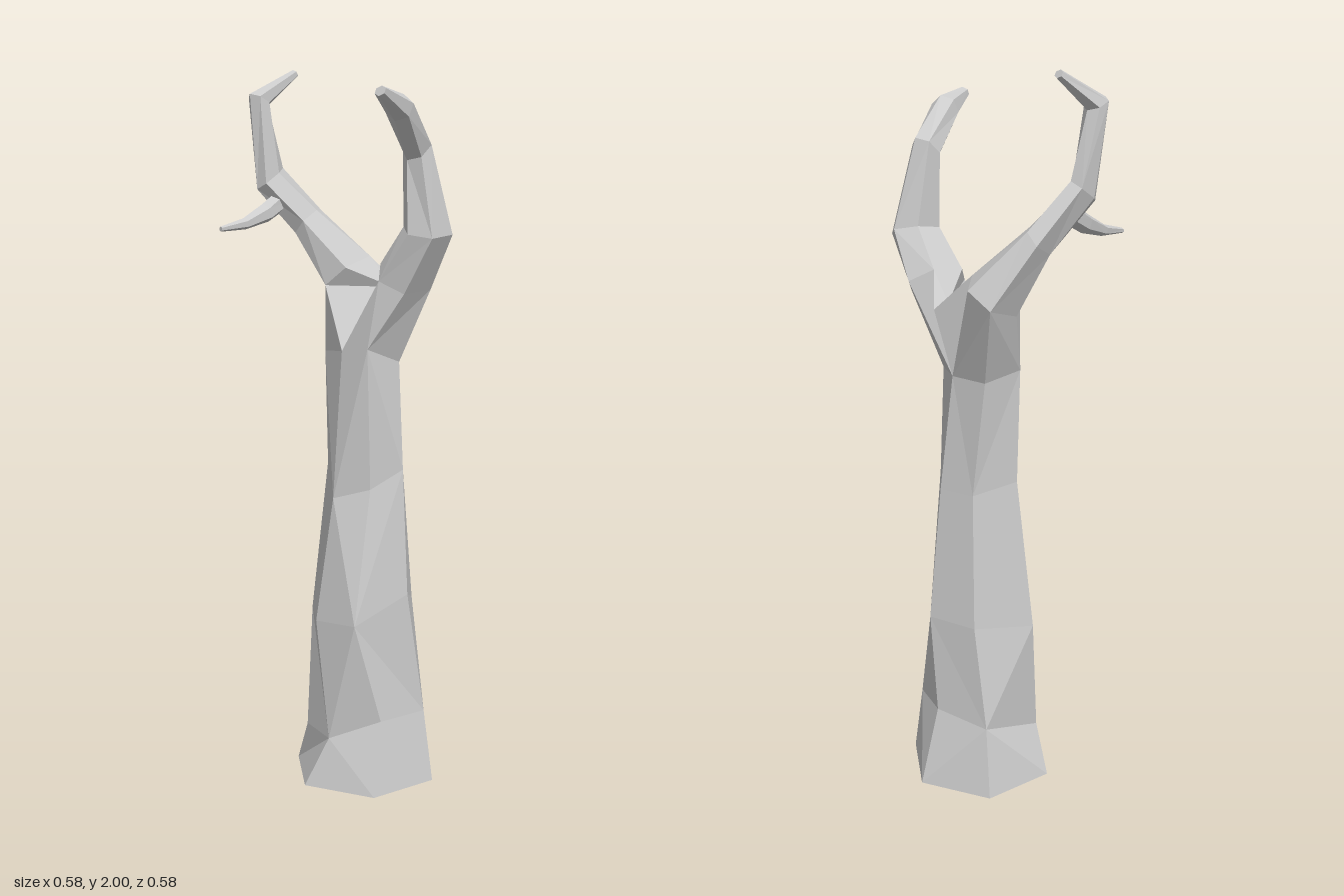
import * as THREE from 'three';

const material = new THREE.MeshStandardMaterial({ color: 0xcccccc, flatShading: true, side: THREE.DoubleSide });

// Six-sided ring around centre c, spanned by an outward vector u and a frontward vector v
function ring(c, u, v) {
  return [90, 30, -30, -90, -150, 150].map((deg) => {
    const a = THREE.MathUtils.degToRad(deg);
    return c.map((value, k) => value + u[k] * Math.cos(a) + v[k] * Math.sin(a));
  });
}

// Faceted skin through a list of rings, with optional end caps
function loft(name, rings, { flip = false, capStart = false, capEnd = false } = {}) {
  const positions = [];
  const tri = (a, b, c) => positions.push(...a, ...(flip ? c : b), ...(flip ? b : c));
  for (let r = 0; r < rings.length - 1; r++) {
    const low = rings[r], high = rings[r + 1], n = low.length;
    for (let i = 0; i < n; i++) {
      const j = (i + 1) % n;
      // Alternate the diagonals for an irregular, hewn surface
      if ((i + r) % 2) {
        tri(low[i], low[j], high[j]);
        tri(low[i], high[j], high[i]);
      } else {
        tri(low[i], low[j], high[i]);
        tri(low[j], high[j], high[i]);
      }
    }
  }
  const first = rings[0], last = rings[rings.length - 1];
  for (let i = 1; i < first.length - 1; i++) {
    if (capStart) tri(first[0], first[i + 1], first[i]);
    if (capEnd) tri(last[0], last[i], last[i + 1]);
  }
  const geometry = new THREE.BufferGeometry();
  geometry.setAttribute('position', new THREE.Float32BufferAttribute(positions, 3));
  geometry.computeVertexNormals();
  const mesh = new THREE.Mesh(geometry, material);
  mesh.name = name;
  return mesh;
}

export function createModel() {
  const group = new THREE.Group();
  group.name = 'clawedArm';

  // Wrist ring: front, left front, left back, back, right back, right front
  const wrist = [[0, 1.23, 0], [0.09, 1.24, -0.02], [0.09, 1.2, -0.13],
    [0, 1.2, -0.165], [-0.11, 1.2, -0.14], [-0.12, 1.22, -0.03]];

  // Forearm, flared at the foot
  group.add(loft('forearm', [
    [[0, 0, 0.13], [0.185, 0, 0.025], [0.185, 0, -0.185], [0, 0, -0.29], [-0.185, 0, -0.185], [-0.185, 0, 0.025]],
    [[0.04, 0.14, 0.075], [0.15, 0.2, -0.025], [0.15, 0.2, -0.18], [0, 0.22, -0.23], [-0.15, 0.2, -0.17], [-0.115, 0.13, 0.04]],
    [[-0.02, 0.47, 0.075], [0.12, 0.48, 0.045], [0.14, 0.55, -0.125], [0.03, 0.5, -0.23], [-0.11, 0.5, -0.18], [-0.145, 0.47, 0]],
    [[0, 0.82, 0.03], [0.085, 0.85, -0.035], [0.11, 0.9, -0.13], [0.02, 0.88, -0.195], [-0.08, 0.88, -0.16], [-0.108, 0.9, -0.03]],
    wrist,
  ], { capStart: true }));

  // Saddle between the two halves of the split palm
  const saddle = [[0, 1.39, -0.222], [0, 1.4, -0.175]];

  // Left palm half and forward-curled finger
  group.add(loft('leftFinger', [
    [wrist[0], wrist[1], wrist[2], wrist[3], ...saddle],
    ring([0.115, 1.435, -0.13], [0.06, -0.045, 0], [0, -0.01, 0.092]),
    ring([0.197, 1.56, -0.14], [0.057, -0.018, -0.01], [0, -0.01, 0.07]),
    ring([0.185, 1.775, -0.11], [0.045, -0.01, 0], [0, -0.032, 0.034]),
    ring([0.235, 1.872, -0.01], [0.036, -0.008, -0.016], [0, -0.034, 0.015]),
    ring([0.278, 1.907, 0.085], [0.015, 0, -0.006], [0, -0.013, 0.005]),
  ], { capEnd: true }));

  // Right palm half and upright finger with a backward-bent tip
  group.add(loft('rightFinger', [
    [wrist[0], wrist[5], wrist[4], wrist[3], ...saddle],
    ring([-0.125, 1.435, -0.12], [-0.07, -0.04, -0.02], [0.02, -0.03, 0.1]),
    ring([-0.2, 1.58, -0.03], [-0.05, -0.02, -0.03], [0.02, -0.03, 0.06]),
    ring([-0.245, 1.7, 0.07], [-0.045, 0, -0.02], [0.01, -0.03, 0.05]),
    ring([-0.26, 1.915, 0.095], [-0.034, 0, 0], [0, 0.015, 0.03]),
    ring([-0.245, 1.99, -0.015], [-0.015, 0, 0], [0, 0.01, 0.006]),
  ], { flip: true, capEnd: true }));

  // Thin thumb reaching forward from the right finger
  group.add(loft('thumb', [
    ring([-0.22, 1.66, 0.02], [0.025, 0, 0], [0, -0.03, -0.01]),
    ring([-0.195, 1.605, 0.12], [0.024, 0, -0.006], [0, -0.024, -0.01]),
    ring([-0.177, 1.576, 0.2], [0.018, 0, -0.004], [0, -0.015, -0.004]),
    ring([-0.158, 1.563, 0.287], [0.008, 0, 0], [0, -0.007, 0]),
  ], { capStart: true, capEnd: true }));

  return group;
}
